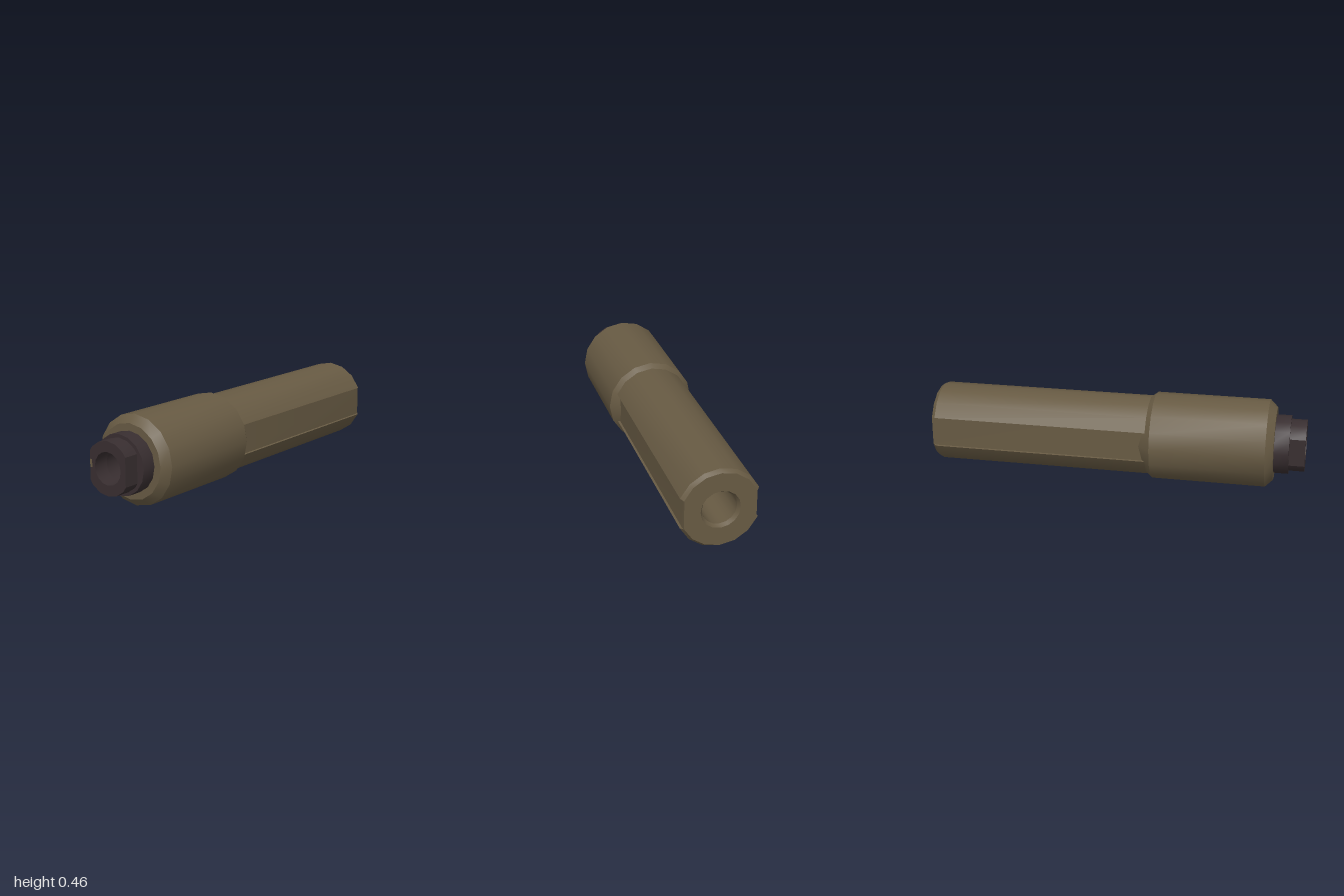
import * as THREE from 'three';
import { toCreasedNormals } from 'three/addons/utils/BufferGeometryUtils.js';

const SIDES = 16;
const STEP = (Math.PI * 2) / SIDES;

const brown = new THREE.MeshStandardMaterial({ color: 0x675a43 });
brown.name = 'bronze brown';
const dark = new THREE.MeshStandardMaterial({ color: 0x382e30 });
dark.name = 'dark steel';

// Points are [radius, z]; the lathe axis is turned to run along z
function turned(points) {
  const geo = new THREE.LatheGeometry(points.map(([r, z]) => new THREE.Vector2(r, z)), SIDES);
  geo.rotateX(Math.PI / 2);
  return toCreasedNormals(geo, 0.5);
}

// 16-sided ring whose two sides follow a cut given for +x and turned for -x
function section(radius, cut, bore) {
  const pts = [];
  for (const s of [1, -1]) {
    for (const [x, y] of cut) pts.push(new THREE.Vector2(x * s, y * s));
    for (let i = 2; i <= 6; i++) {
      pts.push(new THREE.Vector2(Math.cos(i * STEP), Math.sin(i * STEP)).multiplyScalar(radius * s));
    }
  }
  const shape = new THREE.Shape(pts);
  const hole = [];
  for (let i = 0; i < SIDES; i++) {
    hole.push(new THREE.Vector2(Math.cos(i * STEP) * bore, -Math.sin(i * STEP) * bore));
  }
  shape.holes.push(new THREE.Path(hole));
  return shape;
}

export function createModel() {
  const model = new THREE.Group();
  model.name = 'spindle';
  const axis = new THREE.Group();
  axis.name = 'body';
  axis.position.y = 0.233;
  model.add(axis);

  const add = (name, geo, material) => {
    const mesh = new THREE.Mesh(geo, material);
    mesh.name = name;
    axis.add(mesh);
    return mesh;
  };

  // Thick front sleeve with chamfers at both ends
  add('sleeve', turned([
    [0.17, 0.12], [0.18, 0.13], [0.232, 0.197], [0.232, 0.8], [0.193, 0.84], [0.14, 0.84],
  ]), brown);

  // Rear shank with a shallow slot along each side
  const r = 0.211, h = r * Math.sin(STEP), w = r * Math.cos(STEP), floor = 0.184;
  const shank = new THREE.ExtrudeGeometry(
    section(r, [[w, -h], [floor, -h + 0.002], [floor, h - 0.002], [w, h]], 0.088),
    { depth: 1.17, steps: 2, bevelEnabled: false });
  shank.translate(0, 0, -1);
  // Chamfer the rear rim and the mouth of the bore
  const p = shank.attributes.position;
  for (let i = 0; i < p.count; i++) {
    const z = p.getZ(i), rad = Math.hypot(p.getX(i), p.getY(i));
    if (z < -0.99) {
      const k = (rad > 0.15 ? Math.min(rad, 0.196) : 0.1) / rad;
      p.setXY(i, p.getX(i) * k, p.getY(i) * k);
    } else if (z < 0.1) {
      p.setZ(i, -0.98);
    }
  }
  add('shank', toCreasedNormals(shank, 0.5), brown);
  add('rearBoreEnd', turned([[0, -0.3], [0.089, -0.35]]), brown);

  // Dark collar with the bottom of the front bore
  add('noseCollar', turned([
    [0.155, 0.83], [0.155, 0.917], [0.083, 0.917], [0.083, 0.8], [0, 0.75],
  ]), dark);

  // Nose tip with a wrench flat on each side
  const tip = new THREE.ExtrudeGeometry(
    section(0.137, [[0.113, -0.073], [0.113, 0.073]], 0.083),
    { depth: 0.085, bevelEnabled: false });
  tip.translate(0, 0, 0.915);
  add('noseTip', toCreasedNormals(tip, 0.5), dark);

  // Small worn mark on the nose face
  add('noseMark', new THREE.BoxGeometry(0.013, 0.04, 0.002), brown).position.set(-0.106, 0.012, 0.9995);

  return model;
}
